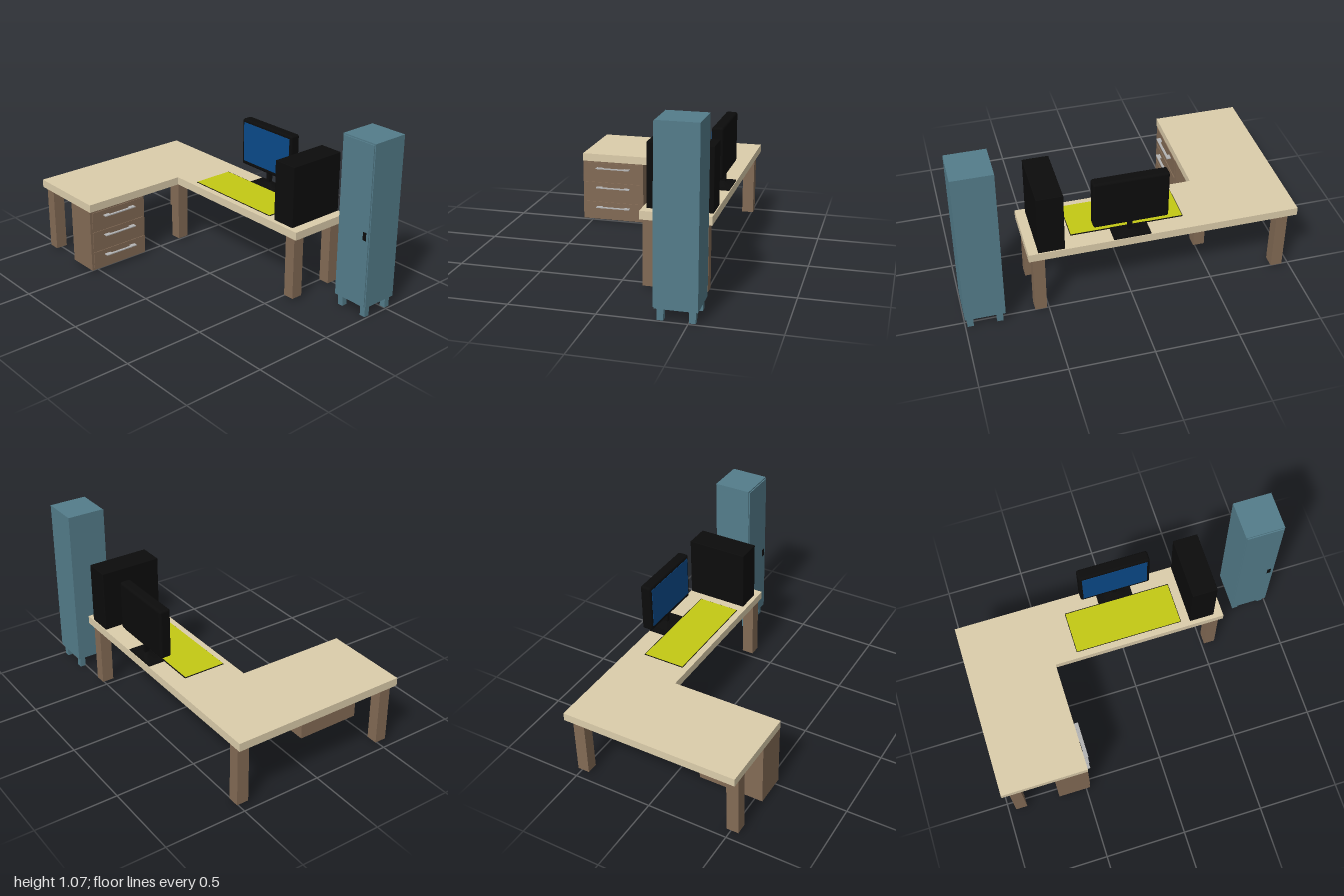
import * as THREE from 'three';
import { RoundedBoxGeometry } from 'three/addons/geometries/RoundedBoxGeometry.js';

const paint = (color) => new THREE.MeshStandardMaterial({ color });

export function createModel() {
  const model = new THREE.Group();
  model.name = 'officeCorner';
  const lightWood = paint(0xdccdab), wood = paint(0x836b55), teal = paint(0x547d8b);
  const black = paint(0x0c0c0c), yellow = paint(0xc4c914), blue = paint(0x0a4a8a), metal = paint(0xb4b4b4);

  const group = (name) => {
    const g = new THREE.Group();
    g.name = name;
    model.add(g);
    return g;
  };
  const add = (parent, name, geometry, material) => {
    const mesh = new THREE.Mesh(geometry, material);
    mesh.name = name;
    parent.add(mesh);
    return mesh;
  };
  // Box given by its limits on each axis; a radius rounds its edges
  const box = (parent, name, material, [x0, x1], [y0, y1], [z0, z1], radius = 0) => {
    const size = [x1 - x0, y1 - y0, z1 - z0];
    const geometry = radius ? new RoundedBoxGeometry(...size, 3, radius) : new THREE.BoxGeometry(...size);
    const mesh = add(parent, name, geometry, material);
    mesh.position.set((x0 + x1) / 2, (y0 + y1) / 2, (z0 + z1) / 2);
    return mesh;
  };
  // Outline in plan (x, z), extruded upward from y
  const slab = (parent, name, material, outline, y, height) => {
    const shape = new THREE.Shape(outline.map(([x, z]) => new THREE.Vector2(x, -z)));
    const geometry = new THREE.ExtrudeGeometry(shape, { depth: height, bevelEnabled: false });
    geometry.rotateX(-Math.PI / 2);
    const mesh = add(parent, name, geometry, material);
    mesh.position.y = y;
    return mesh;
  };

  // L-shaped desk on five square legs
  const desk = group('desk');
  slab(desk, 'deskTop', lightWood,
    [[-0.555, -1], [0.54, -1], [0.54, 0.61], [0.13, 0.61], [0.13, -0.47], [-0.555, -0.47]], 0.412, 0.05);
  const legs = [[0.18, 0.55], [0.48, 0.55], [0.18, -0.52], [0.48, -0.918], [-0.515, -0.918]];
  for (const [x, z] of legs) {
    box(desk, 'deskLeg', wood, [x - 0.037, x + 0.037], [0.015, 0.412], [z - 0.035, z + 0.035]);
  }

  // Drawer unit with three fronts and bracket handles
  const drawers = group('drawerUnit');
  box(drawers, 'drawerCase', wood, [-0.555, -0.145], [0.015, 0.411], [-0.675, -0.475]);
  for (const y of [0.082, 0.217, 0.349]) {
    box(drawers, 'drawerFront', wood, [-0.54, -0.16], [y - 0.053, y + 0.053], [-0.477, -0.47]);
    slab(drawers, 'drawerHandle', metal,
      [[-0.46, -0.472], [-0.42, -0.472], [-0.42, -0.457], [-0.272, -0.457], [-0.272, -0.472],
        [-0.234, -0.472], [-0.234, -0.442], [-0.46, -0.442]], y + 0.018, 0.006);
  }

  // Desk mat with a black backing
  const mat = group('deskMat');
  box(mat, 'matBacking', black, [0.169, 0.434], [0.461, 0.466], [-0.325, 0.346]);
  box(mat, 'matSurface', yellow, [0.171, 0.429], [0.464, 0.468], [-0.322, 0.343]);

  // Computer tower
  box(model, 'computerTower', black, [0.155, 0.535], [0.462, 0.84], [0.4, 0.553], 0.003);

  // Monitor on a tapered stand, screen toward -x
  const monitor = group('monitor');
  box(monitor, 'monitorBody', black, [0.448, 0.517], [0.557, 0.862], [-0.21, 0.23], 0.014);
  box(monitor, 'screen', blue, [0.446, 0.452], [0.585, 0.842], [-0.192, 0.212]);
  box(monitor, 'standPlate', black, [0.43, 0.536], [0.462, 0.469], [-0.105, 0.115]);
  const foot = new THREE.CylinderGeometry(0.025, 0.1, 0.024, 4);
  foot.rotateY(Math.PI / 4);
  foot.scale(0.6, 1, 1);
  add(monitor, 'standFoot', foot.toNonIndexed(), black).position.set(0.483, 0.48, 0.01);
  box(monitor, 'standNeck', black, [0.47, 0.496], [0.48, 0.565], [-0.002, 0.022]);

  // Tall locker on short feet, door toward -x
  const locker = group('locker');
  box(locker, 'lockerBody', teal, [0.316, 0.552], [0.068, 1.072], [0.764, 1]);
  box(locker, 'lockerDoor', teal, [0.309, 0.317], [0.074, 1.064], [0.77, 0.994]);
  box(locker, 'doorHandle', black, [0.307, 0.311], [0.49, 0.54], [0.955, 0.978]);
  for (const x of [0.347, 0.52]) {
    for (const z of [0.796, 0.969]) {
      box(locker, 'lockerFoot', teal, [x - 0.018, x + 0.018], [0, 0.069], [z - 0.018, z + 0.018]);
    }
  }
  return model;
}
